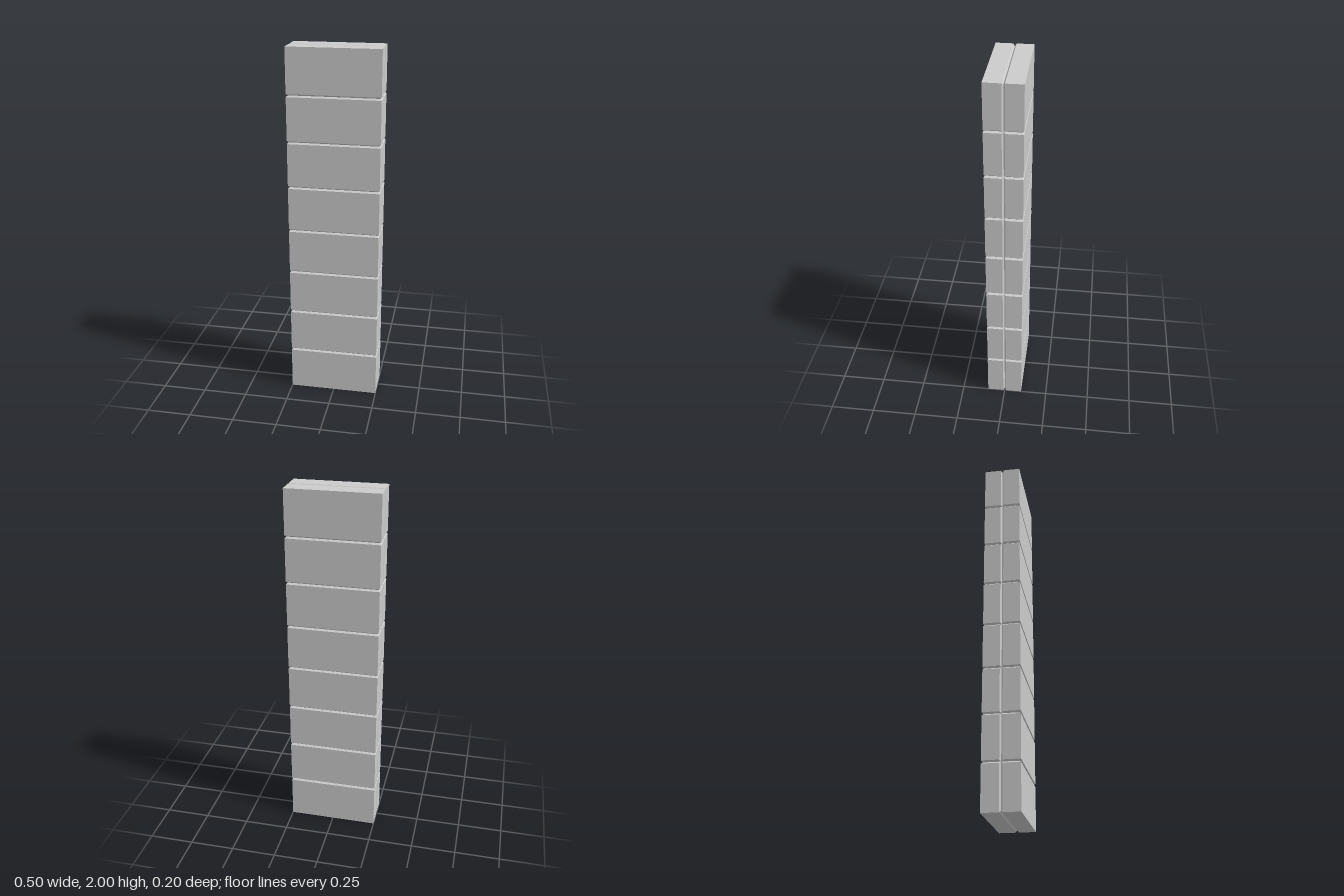
import * as THREE from 'three';

const W = 0.25, D = 0.1, H = 2;     // half width, half depth, full height
const ROWS = 8;
const GAP = 0.008, DEPTH = 0.01;    // half width and depth of the V grooves

// Outline at height y, counterclockwise from above; inset = how far it sinks into a row groove.
// tipShift moves the groove valley vertically where it turns over the end faces.
function outline(y, inset = 0, tipShift = 0) {
  const w = W - inset, d = D - inset, g = GAP * (1 - inset / DEPTH);
  const side = [[w, d], [w, g], [W - DEPTH, 0], [w, -g], [w, -d]];
  const right = side.map(([x, z], i) => new THREE.Vector3(x, y + (i === 2 ? tipShift : 0), z));
  const left = right.map((p) => new THREE.Vector3(-p.x, p.y, p.z)).reverse();
  return [...right, ...left];
}

function barGeometry() {
  // Sections from bottom to top, with a V groove between rows
  const sections = [outline(0, 0, DEPTH)];
  for (let k = 1; k < ROWS; k++) {
    const y = (k * H) / ROWS;
    sections.push(outline(y - GAP), outline(y, DEPTH), outline(y + GAP));
  }
  sections.push(outline(H, 0, -DEPTH));

  const positions = [];
  const tri = (a, b, c) => {
    const area = b.clone().sub(a).cross(c.clone().sub(a)).length();
    if (area > 1e-9) for (const p of [a, b, c]) positions.push(p.x, p.y, p.z);
  };
  const quad = (a, b, c, d) => { tri(a, b, c); tri(a, c, d); };

  // Walls
  const n = sections[0].length;
  for (let s = 0; s + 1 < sections.length; s++) {
    const lo = sections[s], hi = sections[s + 1];
    for (let i = 0; i < n; i++) {
      const j = (i + 1) % n;
      quad(lo[i], lo[j], hi[j], hi[i]);
    }
  }

  // Grooved end faces
  const bottom = sections[0], top = sections[sections.length - 1];
  for (let i = 0; i < 4; i++) {
    quad(top[i], top[i + 1], top[n - 2 - i], top[n - 1 - i]);
    quad(bottom[n - 1 - i], bottom[n - 2 - i], bottom[i + 1], bottom[i]);
  }

  const geometry = new THREE.BufferGeometry();
  geometry.setAttribute('position', new THREE.Float32BufferAttribute(positions, 3));
  geometry.computeVertexNormals();
  return geometry;
}

export function createModel() {
  const group = new THREE.Group();
  group.name = 'groovedBlockPillar';
  const material = new THREE.MeshStandardMaterial({ color: 0xcccccc, flatShading: true });
  const bar = new THREE.Mesh(barGeometry(), material);
  bar.name = 'groovedBlocks';
  group.add(bar);
  return group;
}
